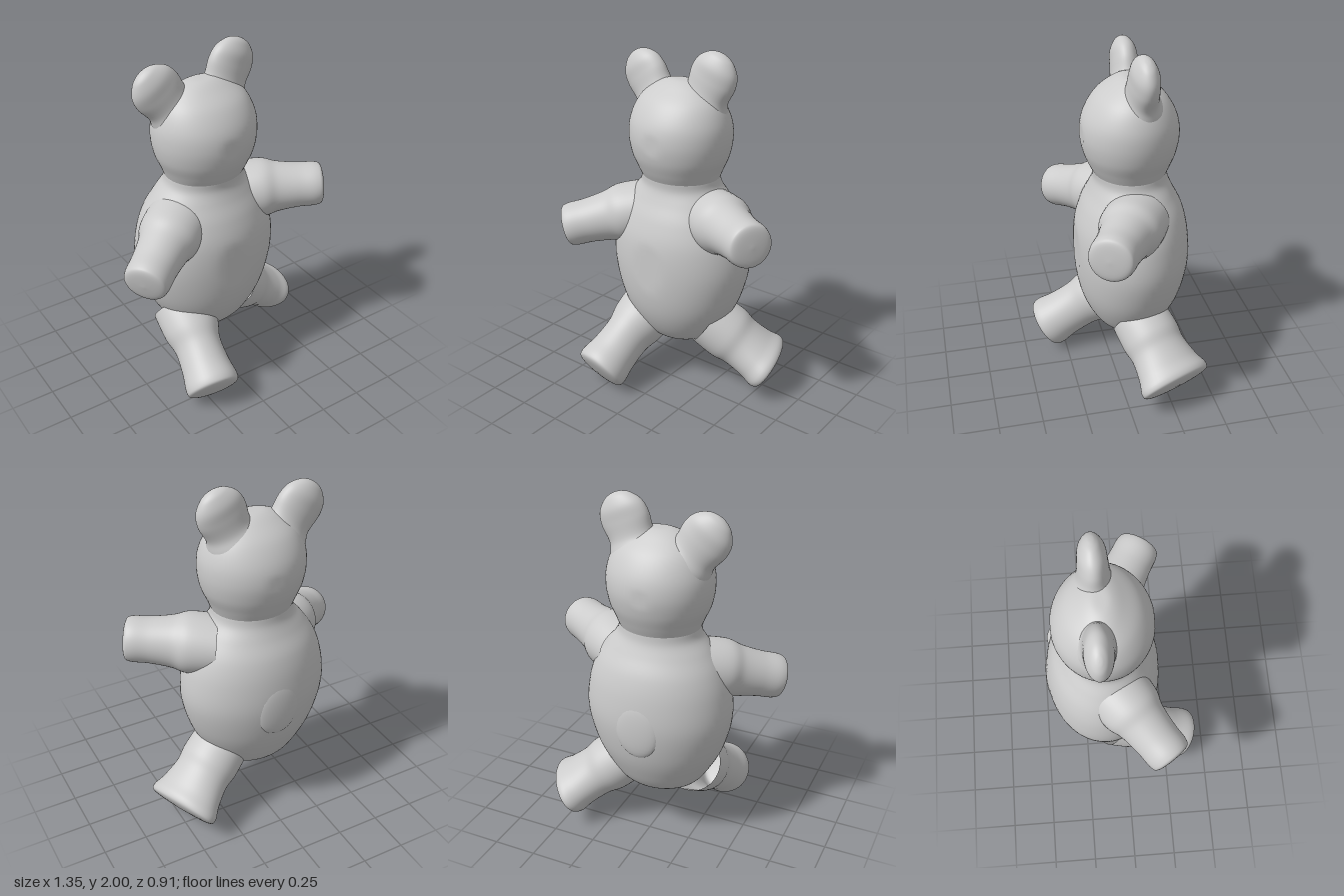
import * as THREE from 'three';
import { mergeVertices } from 'three/addons/utils/BufferGeometryUtils.js';

const material = new THREE.MeshStandardMaterial({ color: 0xcccccc, side: THREE.DoubleSide });
const UP = new THREE.Vector3(0, 1, 0);

// Smoothly subdivide rows of numbers (Catmull-Rom on each column)
function smoothRows(rows, steps = 6) {
  const out = [];
  const last = rows.length - 1;
  for (let i = 0; i < last; i++) {
    const [a, b, c, d] = [rows[Math.max(i - 1, 0)], rows[i], rows[i + 1], rows[Math.min(i + 2, last)]];
    for (let s = 0; s < steps; s++) {
      const t = s / steps;
      out.push(b.map((_, k) => b[k] + 0.5 * t * (c[k] - a[k]
        + t * (2 * a[k] - 5 * b[k] + 4 * c[k] - d[k] + t * (3 * (b[k] - c[k]) + d[k] - a[k])))));
    }
  }
  out.push(rows[last]);
  return out;
}

// Skin a stack of closed cross-sections; place(row, angle) gives each point
function skin(name, rows, place, sides = 48) {
  const smooth = smoothRows(rows);
  const pos = [], index = [];
  smooth.forEach((row, i) => {
    for (let j = 0; j < sides; j++) {
      pos.push(...place(row, (j / sides) * Math.PI * 2).toArray());
      if (i === smooth.length - 1) continue;
      const a = i * sides + j, b = i * sides + (j + 1) % sides;
      index.push(a, b, a + sides, b, b + sides, a + sides);
    }
  });
  let geo = new THREE.BufferGeometry();
  geo.setAttribute('position', new THREE.Float32BufferAttribute(pos, 3));
  geo.setIndex(index);
  geo = mergeVertices(geo, 1e-5);
  geo.computeVertexNormals();
  const mesh = new THREE.Mesh(geo, material);
  mesh.name = name;
  return mesh;
}

// Upright form from rows of [y, half width, front z, back z], front and back slightly flattened
function torso(name, rows, front, back) {
  return skin(name, rows, ([y, w, zf, zb], a) => {
    const z = (zf + zb) / 2 + Math.cos(a) * (zf - zb) / 2;
    return new THREE.Vector3(-0.01 + Math.sin(a) * w, y, THREE.MathUtils.clamp(z, back, front));
  }, 64);
}

// Limb from root to tip with rows of [t, horizontal radius, upright radius]
function limb(name, root, tip, rows) {
  const start = new THREE.Vector3(...root);
  const axis = new THREE.Vector3(...tip).sub(start);
  const u = UP.clone().cross(axis).normalize();
  const v = axis.clone().cross(u).normalize();
  return skin(name, rows, ([t, ru, rv], a) => start.clone().addScaledVector(axis, t)
    .addScaledVector(u, Math.cos(a) * ru).addScaledVector(v, Math.sin(a) * rv));
}

export function createModel() {
  const group = new THREE.Group();
  group.name = 'teddyBear';

  // Egg-shaped body up to the neck
  group.add(torso('body', [
    [0.28, 0, -0.1, -0.1], [0.285, 0.12, 0, -0.2], [0.34, 0.235, 0.08, -0.3],
    [0.46, 0.32, 0.15, -0.37], [0.6, 0.385, 0.19, -0.42], [0.78, 0.425, 0.207, -0.448],
    [0.95, 0.41, 0.2, -0.437], [1.08, 0.365, 0.165, -0.405], [1.18, 0.3, 0.12, -0.355],
    [1.25, 0.243, 0.095, -0.325], [1.3, 0.23, 0.095, -0.317],
  ], 0.198, -0.445));

  // Head from the neck up
  group.add(torso('head', [
    [1.3, 0.23, 0.095, -0.317], [1.35, 0.25, 0.12, -0.338], [1.43, 0.283, 0.15, -0.366],
    [1.53, 0.299, 0.163, -0.38], [1.63, 0.29, 0.145, -0.362], [1.73, 0.245, 0.085, -0.305],
    [1.8, 0.165, 0.0, -0.225], [1.835, 0.08, -0.06, -0.165], [1.84, 0, -0.11, -0.11],
  ], 0.157, -0.375));

  // Shallow raised patch on the back
  const patch = new THREE.Mesh(new THREE.SphereGeometry(1, 32, 16), material);
  patch.name = 'backPatch';
  patch.scale.set(0.13, 0.17, 0.035);
  patch.position.set(-0.01, 0.78, -0.42);
  group.add(patch);

  // Arms, flaring into the shoulders
  const arm = [
    [0, 0.18, 0.16], [0.3, 0.175, 0.17], [0.48, 0.145, 0.147], [0.72, 0.13, 0.13],
    [0.92, 0.126, 0.126], [0.99, 0.1, 0.1], [1.01, 0, 0],
  ];
  group.add(limb('leftArm', [0.2, 1.09, -0.11], [0.64, 1.115, 0.145], arm));
  group.add(limb('rightArm', [-0.2, 1.06, -0.07], [-0.605, 0.93, 0.23], arm));

  // Striding legs with flat soles
  group.add(limb('rightLeg', [-0.19, 0.42, -0.07], [-0.255, 0.125, 0.37], [
    [0, 0.18, 0.17], [0.28, 0.165, 0.165], [0.48, 0.137, 0.148], [0.72, 0.142, 0.146],
    [0.92, 0.157, 0.156], [0.99, 0.13, 0.125], [1.01, 0, 0],
  ]));
  group.add(limb('leftLeg', [0.19, 0.42, -0.13], [0.535, 0.16, -0.275], [
    [0, 0.17, 0.16], [0.3, 0.175, 0.165], [0.5, 0.17, 0.145], [0.75, 0.195, 0.14],
    [0.92, 0.222, 0.146], [0.99, 0.185, 0.115], [1.01, 0, 0],
  ]));

  // Flat round ears, thickening where they meet the head
  const ear = [
    [0, 0.15, 0.16], [0.28, 0.13, 0.15], [0.45, 0.09, 0.13], [0.66, 0.078, 0.14],
    [0.82, 0.07, 0.125], [0.94, 0.045, 0.08], [0.99, 0.02, 0.035], [1, 0, 0],
  ];
  group.add(limb('leftEar', [0.07, 1.6, -0.135], [0.235, 2.0, -0.14], ear));
  group.add(limb('rightEar', [-0.1, 1.58, -0.135], [-0.36, 1.935, -0.14], ear));

  return group;
}
